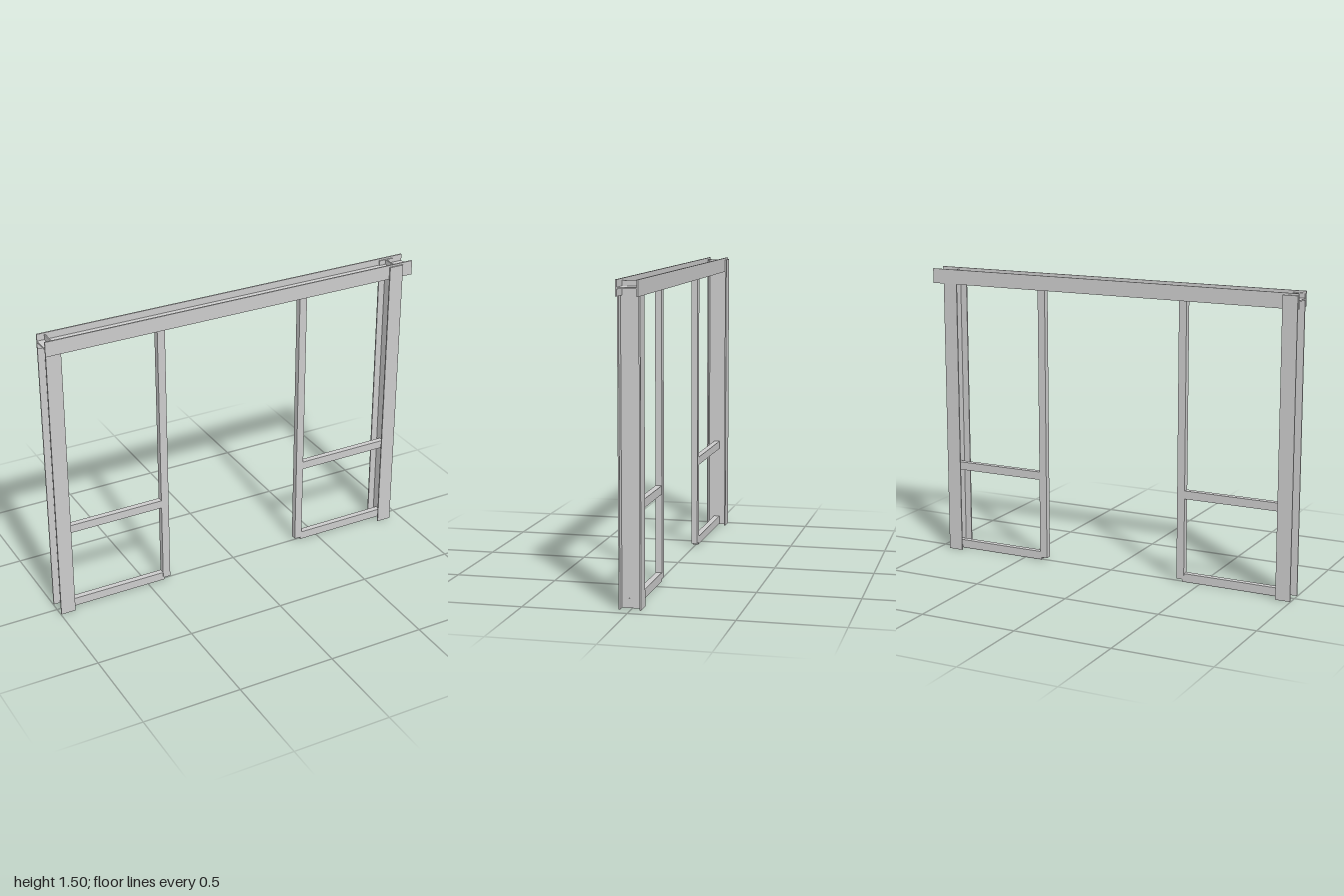
import * as THREE from 'three';

const steel = new THREE.MeshStandardMaterial({ color: 0xcccccc, flatShading: true });

// I-section (flanges facing +z and -z) running along y from 0 to length
function iBeam(name, width, depth, flange, web, length) {
  const w = width / 2, d = depth / 2, t = web / 2, f = d - flange;
  const pts = [
    [-w, -d], [w, -d], [w, -f], [t, -f], [t, f], [w, f],
    [w, d], [-w, d], [-w, f], [-t, f], [-t, -f], [-w, -f],
  ].map(([x, y]) => new THREE.Vector2(x, y));
  const geometry = new THREE.ExtrudeGeometry(new THREE.Shape(pts), { depth: length, bevelEnabled: false });
  geometry.rotateX(-Math.PI / 2);
  const mesh = new THREE.Mesh(geometry, steel);
  mesh.name = name;
  return mesh;
}

// square bar given by its x and y extents
function bar(name, x0, x1, y0, y1, depth) {
  const mesh = new THREE.Mesh(new THREE.BoxGeometry(x1 - x0, y1 - y0, depth), steel);
  mesh.name = name;
  mesh.position.set((x0 + x1) / 2, (y0 + y1) / 2, 0);
  return mesh;
}

export function createModel() {
  const model = new THREE.Group();
  model.name = 'portalFrame';

  // header beam lying along x, very slightly skewed in plan
  const header = iBeam('headerBeam', 0.075, 0.104, 0.007, 0.007, 2);
  header.geometry.translate(0, -1, 0).rotateZ(-Math.PI / 2);
  header.position.y = 1.467;
  header.rotation.y = 0.004;
  model.add(header);

  // main columns
  const columns = [
    { name: 'rightColumn', x: -0.959, z: -0.003 },
    { name: 'leftColumn', x: 0.903, z: 0.003 },
  ];
  for (const { name, x, z } of columns) {
    const column = iBeam(name, 0.076, 0.106, 0.007, 0.007, 1.495);
    column.position.set(x, 0, z);
    model.add(column);
  }

  // side frames: inner post plus two rails let into the column web
  const sides = [
    { side: 'right', post: [-0.416, -0.376], rail: [-0.965, -0.408] },
    { side: 'left', post: [0.366, 0.406], rail: [0.4, 0.909] },
  ];
  for (const { side, post, rail } of sides) {
    const frame = new THREE.Group();
    frame.name = side + 'SideFrame';
    frame.add(bar('innerPost', ...post, 0.015, 1.467, 0.032));
    frame.add(bar('bottomRail', ...rail, 0.003, 0.046, 0.03));
    frame.add(bar('middleRail', ...rail, 0.434, 0.476, 0.03));
    model.add(frame);
  }
  return model;
}
